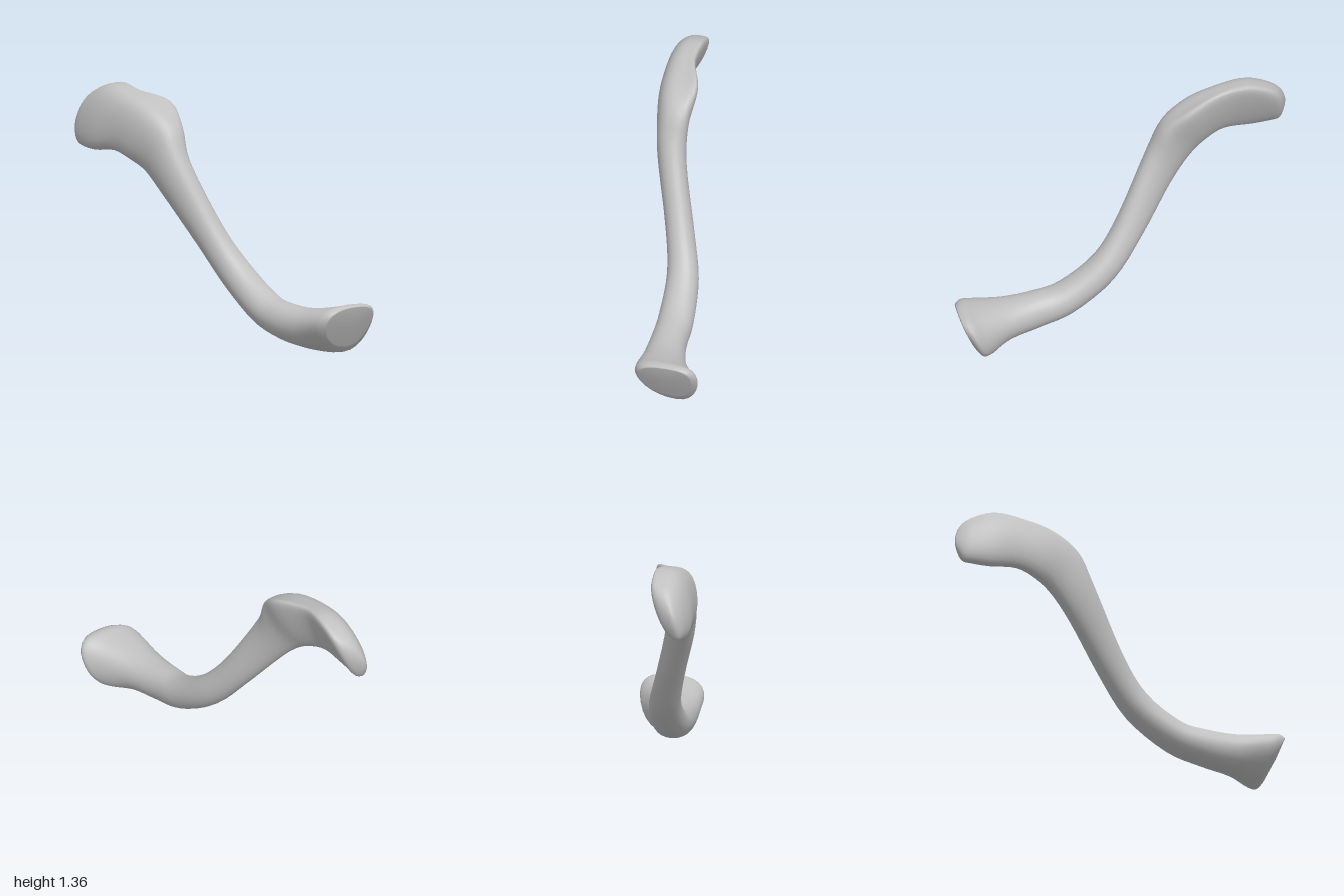
import * as THREE from 'three';

// Cross-section rows: lower x, y, upper x, y, z of upper edge, z of lower edge,
// front z, back z, and how far the widest level is raised.
const flatEnd = [
  [-0.992, 1.08, -0.996, 1.16, 0.29, 0.305, 0.315, 0.28, 0],
  [-0.96, 1.015, -0.967, 1.24, 0.25, 0.31, 0.33, 0.21, 0.2],
  [-0.91, 0.997, -0.9, 1.31, 0.215, 0.315, 0.335, 0.165, 0.5],
  [-0.8, 0.987, -0.76, 1.365, 0.2, 0.315, 0.34, 0.155, 0.55],
  [-0.64, 1.003, -0.6, 1.34, 0.205, 0.29, 0.328, 0.15, 0.6],
  [-0.52, 0.965, -0.41, 1.288, 0.17, 0.26, 0.308, 0.075, 0.7],
  [-0.42, 0.9, -0.26, 1.185, 0.16, 0.215, 0.283, 0.09, 0.4],
];
const shaft = [
  [-0.3, 0.76, -0.17, 1.0, 0.16, 0.165, 0.25, 0.08, 0.1],
  [-0.12, 0.51, 0.02, 0.63, 0.06, 0.065, 0.147, -0.02, 0],
  [0.06, 0.285, 0.17, 0.43, -0.01, -0.005, 0.085, -0.1, 0],
  [0.3, 0.115, 0.37, 0.29, -0.04, -0.035, 0.066, -0.138, 0],
  [0.5, 0.05, 0.52, 0.257, -0.05, -0.05, 0.058, -0.152, 0],
];
const flaredEnd = [
  [0.68, 0.022, 0.7, 0.25, -0.07, -0.08, 0.046, -0.205, 0.1],
  [0.8, 0.004, 0.87, 0.277, -0.12, -0.17, 0.035, -0.29, 0.3],
  [0.86, 0.012, 0.955, 0.297, -0.17, -0.2, 0.025, -0.345, 0.4],
  [0.895, 0.05, 0.998, 0.285, -0.18, -0.19, -0.005, -0.315, 0.35],
];

const SIDES = 28;
const STEPS = 4;

// Smooth interpolation of every row value
function sample(rows, t) {
  const i = Math.min(Math.floor(t), rows.length - 2);
  const u = t - i;
  const row = k => rows[Math.max(0, Math.min(rows.length - 1, k))];
  return rows[0].map((_, k) => {
    const [a, b, c, d] = [row(i - 1)[k], row(i)[k], row(i + 1)[k], row(i + 2)[k]];
    return b + 0.5 * u * (c - a + u * (2 * a - 5 * b + 4 * c - d + u * (3 * (b - c) + d - a)));
  });
}

// Closed ring of points for one cross-section
function ring([lx, ly, hx, hy, zTop, zLow, zFront, zBack, raise]) {
  const points = [];
  const zAt = level => THREE.MathUtils.lerp(zLow, zTop, (1 + level) / 2);
  for (let j = 0; j < SIDES; j++) {
    const a = (j / SIDES) * Math.PI * 2;
    const v = Math.cos(a), s = Math.sin(a);
    const lift = s > 0 ? raise * 0.5 : raise;
    const level = v + lift * (1 - v * v);
    const reach = s > 0 ? zFront - zAt(lift) : zAt(lift) - zBack;
    const w = (1 + level) / 2;
    points.push([
      THREE.MathUtils.lerp(lx, hx, w),
      THREE.MathUtils.lerp(ly, hy, w),
      zAt(level) + Math.sign(s) * Math.pow(Math.abs(s), 0.9) * reach,
    ]);
  }
  return points;
}

function loft(rows) {
  const positions = [], index = [];
  const count = (rows.length - 1) * STEPS + 1;
  for (let i = 0; i < count; i++) {
    positions.push(...ring(sample(rows, i / STEPS)).flat());
  }
  for (let i = 0; i < count - 1; i++) {
    for (let j = 0; j < SIDES; j++) {
      const a = i * SIDES + j, b = i * SIDES + (j + 1) % SIDES;
      index.push(a, b, a + SIDES, b, b + SIDES, a + SIDES);
    }
  }
  // Slightly domed end caps
  const first = count * SIDES, last = (count - 1) * SIDES;
  positions.push(-1, 1.12, 0.3, 0.96, 0.18, -0.17);
  for (let j = 0; j < SIDES; j++) {
    const k = (j + 1) % SIDES;
    index.push(first, k, j, first + 1, last + j, last + k);
  }
  const geometry = new THREE.BufferGeometry();
  geometry.setAttribute('position', new THREE.Float32BufferAttribute(positions, 3));
  geometry.setIndex(index);
  geometry.computeVertexNormals();
  return geometry;
}

export function createModel() {
  const group = new THREE.Group();
  group.name = 'collarbone';
  const boneGrey = new THREE.MeshStandardMaterial({ color: 0xc0c0c0 });
  boneGrey.name = 'bone grey';
  const bone = new THREE.Mesh(loft([...flatEnd, ...shaft, ...flaredEnd]), boneGrey);
  bone.name = 'bone';
  group.add(bone);
  return group;
}
